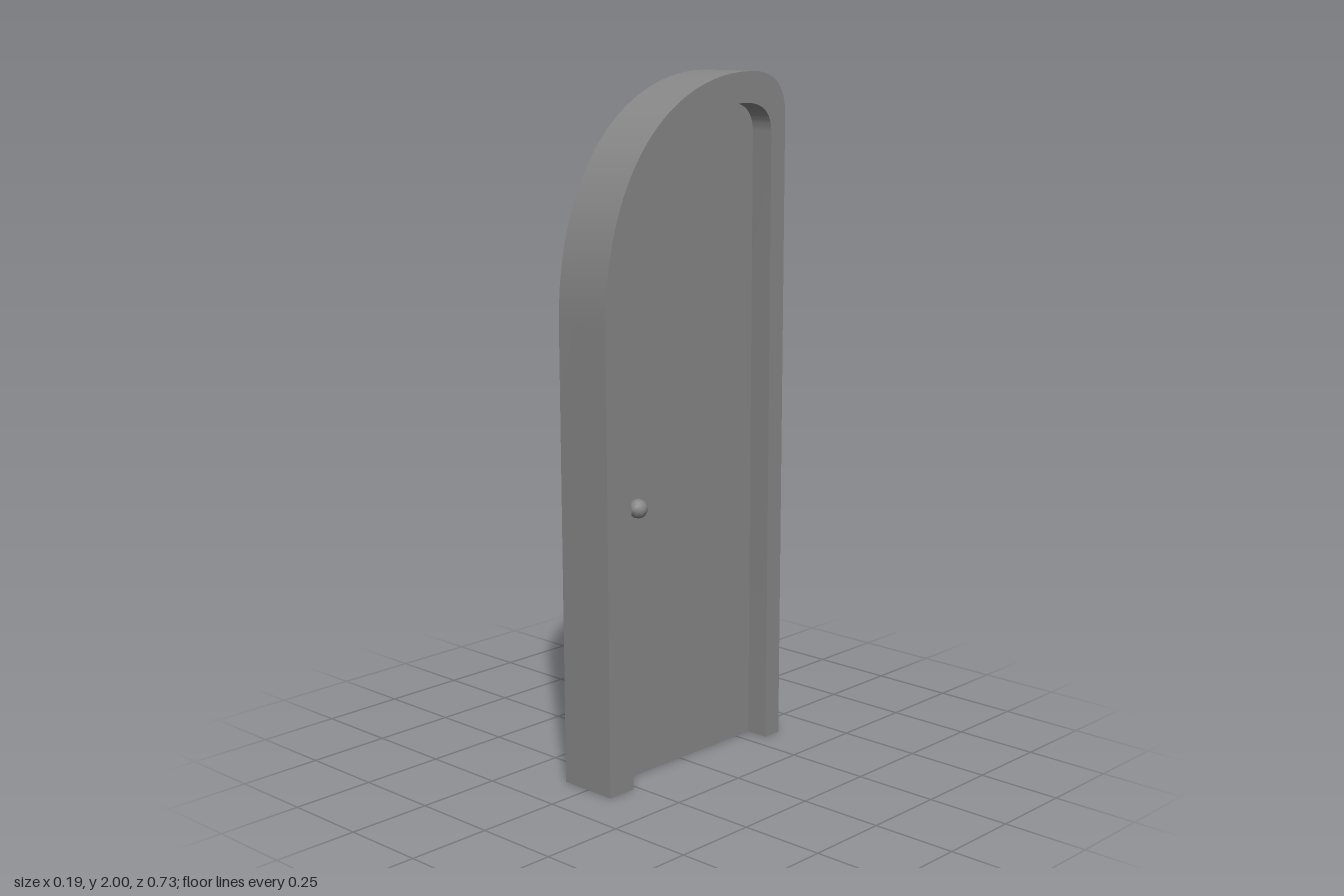
import * as THREE from 'three';
import { toCreasedNormals } from 'three/addons/utils/BufferGeometryUtils.js';

const material = new THREE.MeshStandardMaterial({ color: 0x878787 });

// Lopsided arch from front foot to back foot, in (-z, y)
function archPoints(foot, spring, springY, ctrlY, ctrl, crown, crownY, back, backY) {
  const path = new THREE.Path();
  path.moveTo(-foot, 0);
  path.lineTo(-spring, springY);
  path.bezierCurveTo(-spring, ctrlY, -ctrl, crownY, -crown, crownY);
  const k = 0.68;
  path.bezierCurveTo(
    -(crown + (back - crown) * k), crownY,
    -back, backY + (crownY - backY) * k,
    -back, backY);
  path.lineTo(-back, 0);
  return path.getPoints(24);
}

// Extrudes an outline across x, centred on x = 0
function slab(points, thickness) {
  const geometry = new THREE.ExtrudeGeometry(new THREE.Shape(points), {
    depth: thickness, bevelEnabled: false,
  });
  geometry.translate(0, 0, -thickness / 2);
  geometry.rotateY(Math.PI / 2);
  return toCreasedNormals(geometry, 0.5);
}

function addMesh(parent, name, geometry) {
  const mesh = new THREE.Mesh(geometry, material);
  mesh.name = name;
  parent.add(mesh);
  return mesh;
}

export function createModel() {
  const model = new THREE.Group();
  model.name = 'archedDoor';

  const outer = archPoints(0.36, 0.367, 1.33, 1.76, 0.11, -0.215, 2, -0.367, 1.87);
  const inner = archPoints(0.268, 0.274, 1.4, 1.71, 0.06, -0.19, 1.912, -0.307, 1.82);

  // Frame, open at the floor
  addMesh(model, 'frame', slab([...outer, ...inner.slice().reverse()], 0.18));

  // Thin door leaf recessed on both sides
  addMesh(model, 'doorPanel', slab(inner, 0.04));

  // A knob on a short stem on each side
  for (const side of [1, -1]) {
    const knob = new THREE.Group();
    knob.name = side > 0 ? 'leftKnob' : 'rightKnob';
    const stem = addMesh(knob, 'knobStem', new THREE.CylinderGeometry(0.01, 0.01, 0.05, 12));
    stem.rotation.z = Math.PI / 2;
    stem.position.x = side * 0.04;
    const ball = addMesh(knob, 'knobBall', new THREE.SphereGeometry(0.028, 12, 6));
    ball.rotation.z = Math.PI / 2;
    ball.position.x = side * 0.068;
    knob.position.set(0, 0.81, 0.222);
    model.add(knob);
  }
  return model;
}
